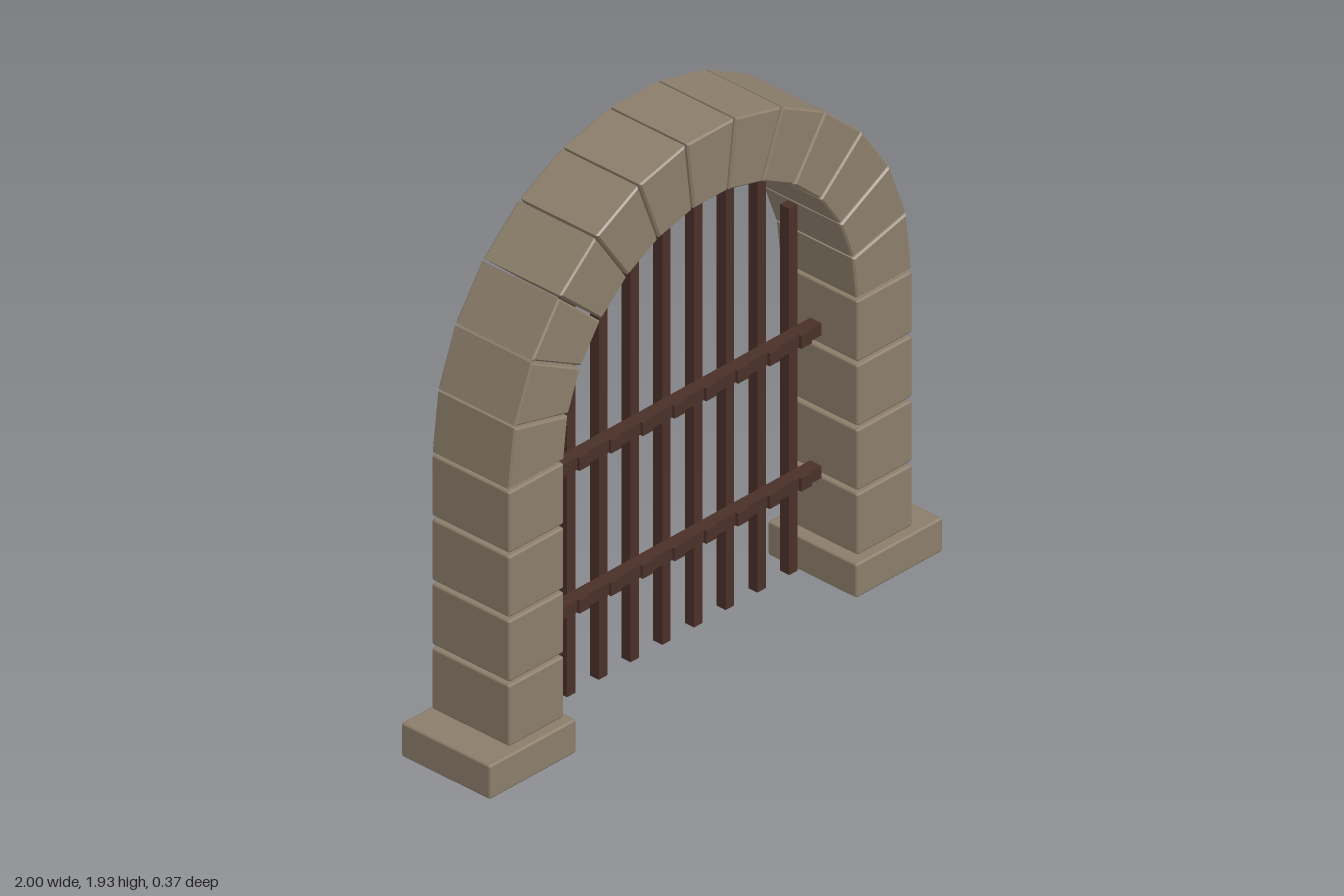
import * as THREE from 'three';
import { RoundedBoxGeometry } from 'three/addons/geometries/RoundedBoxGeometry.js';

export function createModel() {
  const gate = new THREE.Group();
  gate.name = 'archedGate';

  const stone = new THREE.MeshStandardMaterial({ color: 0x8b7d6a });
  stone.name = 'stone';
  const iron = new THREE.MeshStandardMaterial({ color: 0x4a3029 });
  iron.name = 'darkIron';

  const add = (parent, name, geometry, material, x = 0, y = 0, z = 0) => {
    const mesh = new THREE.Mesh(geometry, material);
    mesh.name = name;
    mesh.position.set(x, y, z);
    parent.add(mesh);
    return mesh;
  };
  const addGroup = (name) => {
    const group = new THREE.Group();
    group.name = name;
    gate.add(group);
    return group;
  };

  const outer = 0.89, inner = 0.647, depth = 0.326, springY = 1.043;

  // Pillars: a wide plinth and four stacked blocks on each side
  const plinthGeo = new RoundedBoxGeometry(0.382, 0.12, 0.372, 1, 0.008);
  const blockGeo = new RoundedBoxGeometry(outer - inner, 0.217, depth, 1, 0.008);
  for (const side of [1, -1]) {
    const pillar = addGroup(side > 0 ? 'leftPillar' : 'rightPillar');
    add(pillar, 'plinth', plinthGeo, stone, side * 0.809, 0.06);
    for (let i = 0; i < 4; i++) {
      add(pillar, 'pillarBlock', blockGeo, stone, side * (outer + inner) / 2, 0.239 + i * 0.2293);
    }
  }

  // Arch: thirteen wedge stones with narrow open joints
  const arch = addGroup('arch');
  const count = 13, step = Math.PI / count, bevel = 0.006, gap = 0.004;
  const at = (r, s) => {
    const a = s * step / 2;
    return new THREE.Vector2(r * Math.sin(a) - s * gap, r * Math.cos(a));
  };
  const wedge = new THREE.Shape([at(inner, -1), at(inner, 1), at(outer, 1), at(outer, -1)]);
  const wedgeGeo = new THREE.ExtrudeGeometry(wedge, {
    depth: depth - 2 * bevel, bevelEnabled: true, bevelThickness: bevel,
    bevelSize: bevel, bevelOffset: -bevel, bevelSegments: 1,
  });
  wedgeGeo.translate(0, 0, -depth / 2 + bevel);
  for (let i = 0; i < count; i++) {
    const name = i === (count - 1) / 2 ? 'keystone' : 'archStone';
    add(arch, name, wedgeGeo, stone, 0, springY).rotation.z = (i - (count - 1) / 2) * step;
  }

  // Grille: upright bars stepped under the arch, set behind the crossbars
  const grille = addGroup('grille');
  const tops = [1.66, 1.645, 1.597, 1.505, 1.335];
  const barBottom = 0.03;
  const crossbarY = [0.376, 0.884];
  const rivetGeo = new THREE.BoxGeometry(0.046, 0.046, 0.012);
  for (let i = -4; i <= 4; i++) {
    const x = i * 0.14, height = tops[Math.abs(i)] - barBottom;
    add(grille, 'uprightBar', new THREE.BoxGeometry(0.037, height, 0.038), iron, x, barBottom + height / 2, -0.042);
    for (const y of crossbarY) add(grille, 'rivet', rivetGeo, iron, x, y, 0.027);
  }
  const crossbarGeo = new THREE.BoxGeometry(1.27, 0.044, 0.046);
  for (const y of crossbarY) add(grille, 'crossbar', crossbarGeo, iron, 0, y, 0);

  return gate;
}
